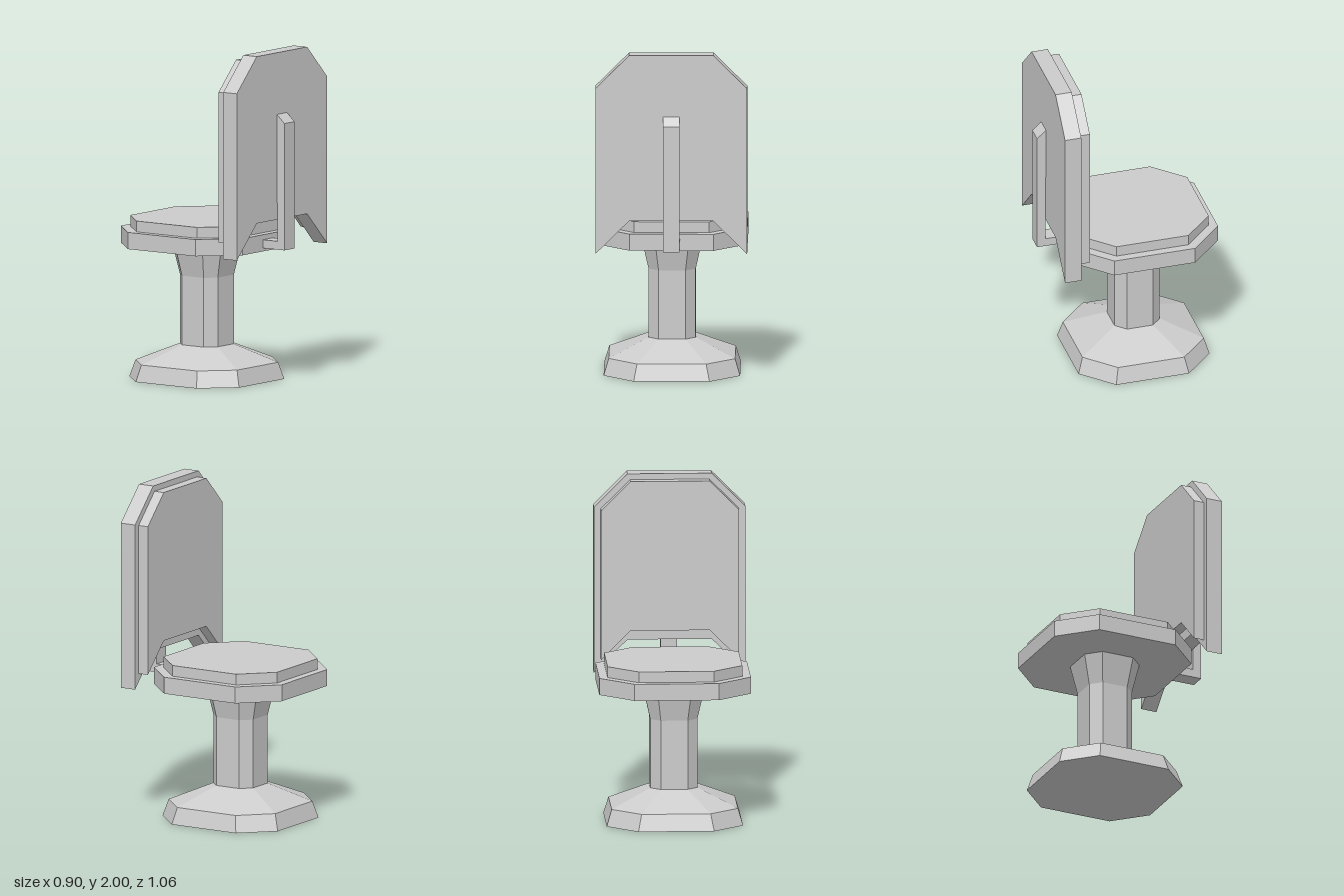
import * as THREE from 'three';

const material = new THREE.MeshStandardMaterial({ color: 0xcccccc, flatShading: true });
const SEAT_Z = -0.08; // seat and pedestal sit forward of the backrest

function addMesh(group, name, geometry, z = 0) {
  const mesh = new THREE.Mesh(geometry, material);
  mesh.name = name;
  mesh.position.z = z;
  group.add(mesh);
  return mesh;
}

// Stack of octagonal rings [y, half width, half length of the straight side], capped at both ends
function octagonStack(rings) {
  const loops = rings.map(([y, h, c]) =>
    [[h, c], [h, -c], [c, -h], [-c, -h], [-h, -c], [-h, c], [-c, h], [c, h]].map(([x, z]) => [x, y, z]));
  const pos = [];
  const tri = (...corners) => corners.forEach((p) => pos.push(...p));
  for (let r = 0; r < loops.length - 1; r++) {
    const a = loops[r], b = loops[r + 1];
    for (let i = 0; i < 8; i++) {
      const j = (i + 1) % 8;
      tri(a[i], a[j], b[j]);
      tri(a[i], b[j], b[i]);
    }
  }
  const bottom = loops[0], top = loops[loops.length - 1];
  for (let i = 1; i < 7; i++) {
    tri(bottom[0], bottom[i + 1], bottom[i]);
    tri(top[0], top[i], top[i + 1]);
  }
  const geometry = new THREE.BufferGeometry();
  geometry.setAttribute('position', new THREE.Float32BufferAttribute(pos, 3));
  geometry.computeVertexNormals();
  return geometry;
}

// Back panel: chamfered top corners and a notched lower edge
function backPanel(h, c, bottom, top, depth) {
  const cut = h - c;
  const outline = [
    [-h, bottom], [-c, bottom + cut], [c, bottom + cut], [h, bottom],
    [h, top - cut], [c, top], [-c, top], [-h, top - cut],
  ].map(([x, y]) => new THREE.Vector2(x, y));
  return new THREE.ExtrudeGeometry(new THREE.Shape(outline), { depth, bevelEnabled: false });
}

export function createModel() {
  const chair = new THREE.Group();
  chair.name = 'chair';

  // Pedestal
  addMesh(chair, 'base', octagonStack([[0, 0.405, 0.225], [0.1, 0.375, 0.205], [0.205, 0.14, 0.08]]), SEAT_Z);
  addMesh(chair, 'column', octagonStack([[0.205, 0.14, 0.08], [0.62, 0.14, 0.08], [0.8, 0.18, 0.1]]), SEAT_Z);

  // Seat
  addMesh(chair, 'seat', octagonStack([[0.8, 0.45, 0.25], [0.9, 0.45, 0.25]]), SEAT_Z);
  addMesh(chair, 'seatCushion', octagonStack([[0.9, 0.4, 0.223], [0.965, 0.4, 0.223]]), SEAT_Z);

  // Backrest
  addMesh(chair, 'backrest', backPanel(0.45, 0.25, 0.8, 2, 0.1), 0.375);
  addMesh(chair, 'backCushion', backPanel(0.41, 0.235, 0.89, 1.965, 0.065), 0.31);

  // L-shaped bracket with sloped tip, drawn from the side and extruded across x
  const profile = new THREE.Shape([
    [-0.53, 0.82], [-0.3, 0.82], [-0.3, 0.87], [-0.478, 0.87], [-0.475, 1.63], [-0.53, 1.58],
  ].map(([x, y]) => new THREE.Vector2(x, y)));
  const bracket = new THREE.ExtrudeGeometry(profile, { depth: 0.1, bevelEnabled: false });
  bracket.translate(0, 0, -0.05);
  bracket.rotateY(Math.PI / 2);
  addMesh(chair, 'backBracket', bracket);

  return chair;
}
